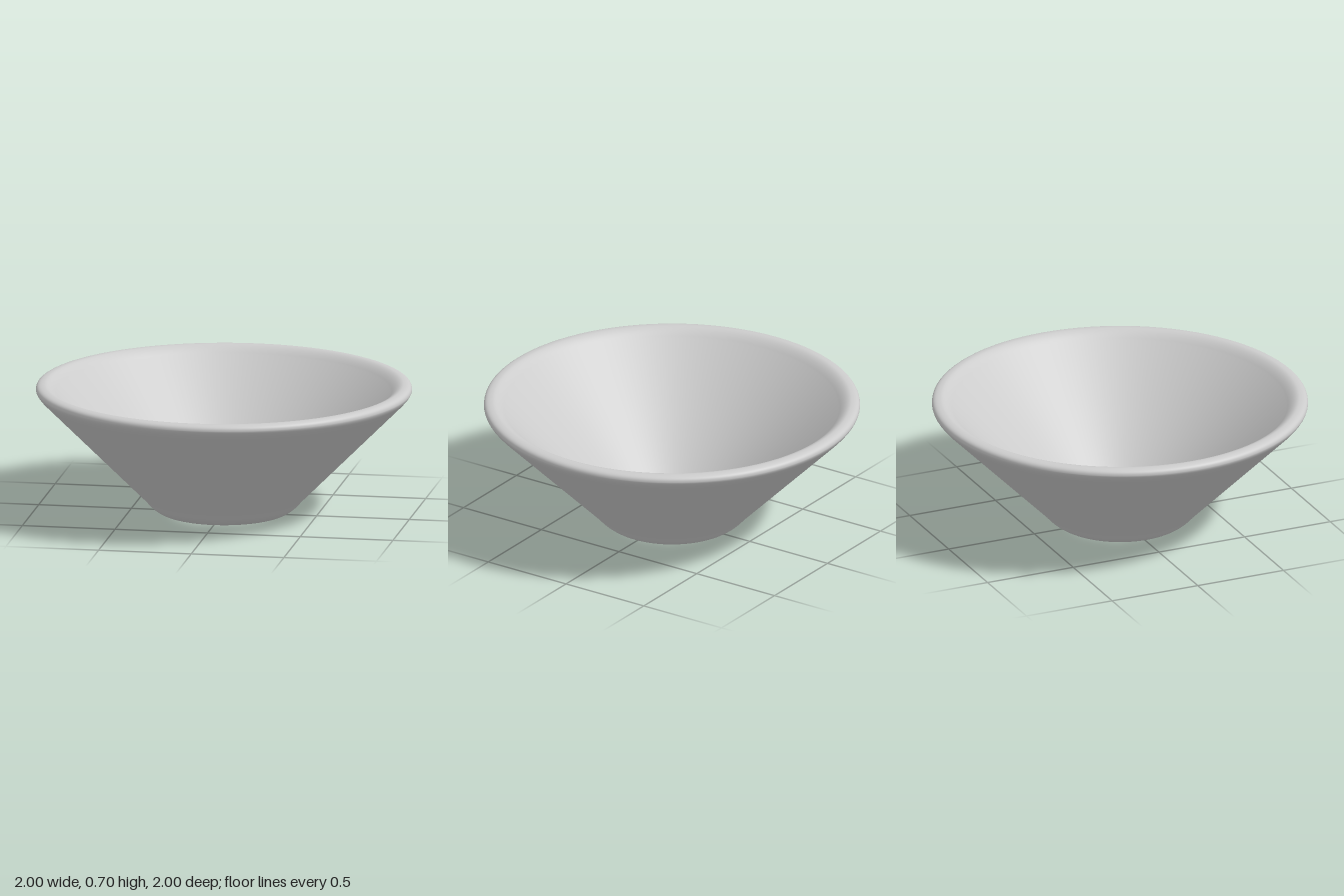
import * as THREE from 'three';

export function createModel() {
  const model = new THREE.Group();
  model.name = 'conicalWasher';

  // Closed wall section, starting and ending halfway down the inner cone
  const section = new THREE.Path();
  section.moveTo(0.58, 0.35);
  section.lineTo(0.29, 0.06);
  // rounded lip of the bottom hole
  section.quadraticCurveTo(0.265, 0.035, 0.264, 0.028);
  section.quadraticCurveTo(0.264, 0, 0.3, 0);
  // rounded foot
  section.quadraticCurveTo(0.36, 0, 0.42, 0.075);
  // outer cone
  section.lineTo(0.965, 0.62);
  // rounded rim
  section.quadraticCurveTo(1, 0.655, 1, 0.67);
  section.quadraticCurveTo(1, 0.7, 0.955, 0.7);
  section.quadraticCurveTo(0.925, 0.7, 0.885, 0.655);
  // inner cone
  section.lineTo(0.58, 0.35);

  const bowl = new THREE.Mesh(
    new THREE.LatheGeometry(section.getPoints(10), 96),
    new THREE.MeshStandardMaterial({ color: 0xcccccc })
  );
  bowl.name = 'flaredWall';
  model.add(bowl);

  return model;
}
